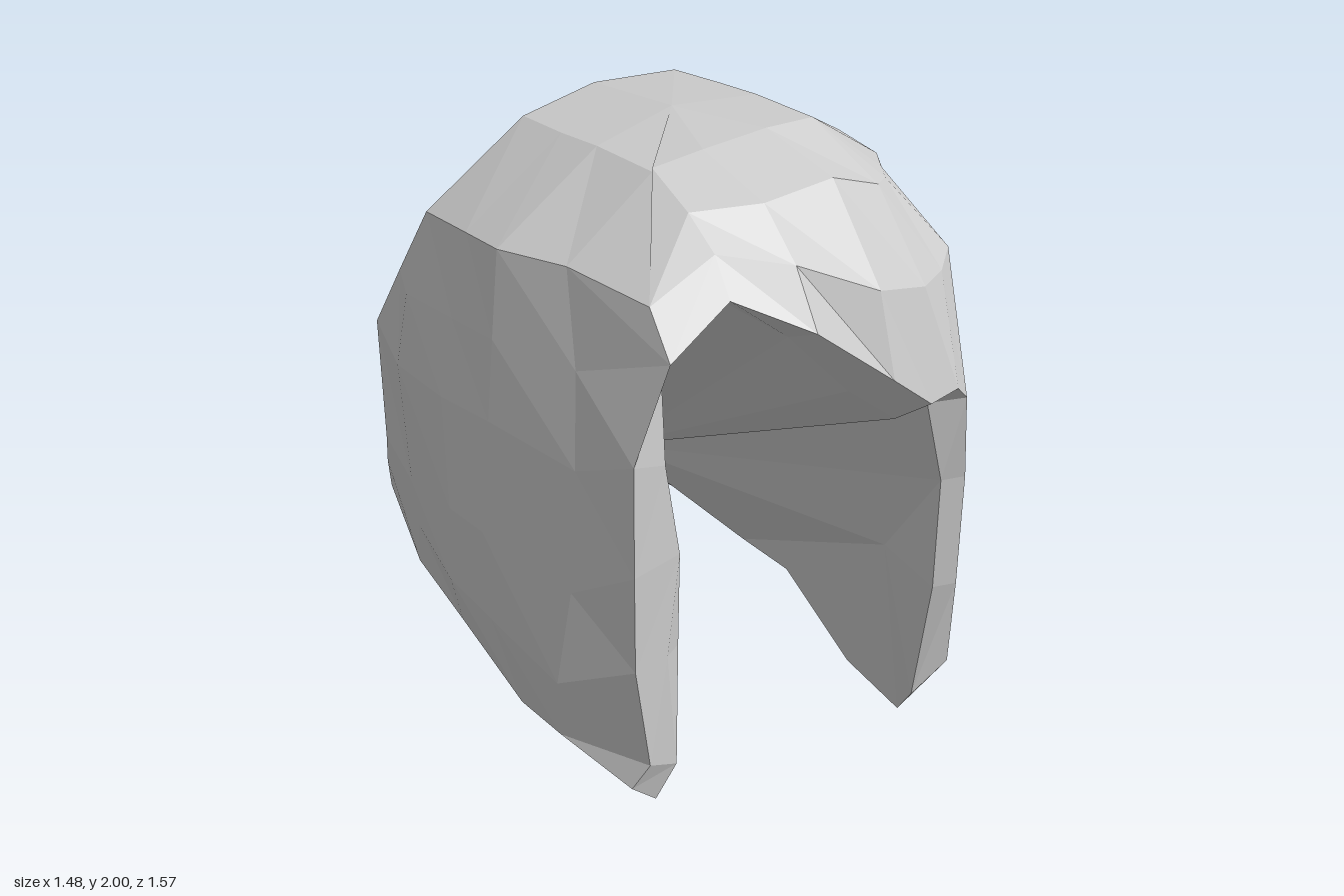
import * as THREE from 'three';

// Each lock is a column of points running from the crown down to the hem.
const fringe = [
  [[-.28, 1.98, .27], [-.3, 1.92, .43], [-.31, 1.85, .54], [-.33, 1.76, .62]],
  [[-.12, 1.99, .28], [-.12, 1.92, .51], [-.13, 1.8, .64], [-.14, 1.65, .735]],
  [[.1, 1.99, .28], [.12, 1.92, .51], [.09, 1.69, .725], [.1, 1.45, .785]],
  [[.28, 1.97, .27], [.28, 1.86, .52], [.3, 1.62, .69], [.27, 1.31, .77]],
  [[.28, 1.97, .27], [.36, 1.84, .47], [.42, 1.61, .64], [.4, 1.3, .75]],
];
const fringeInner = [[-.33, 1.75, .56], [-.14, 1.6, .63], [.06, 1.38, .66], [.24, 1.23, .67], [.33, 1.23, .67]];

// Front edges of the long left lock and the short right lock
const leftLock = [[.28, 1.97, .27], [.42, 1.83, .4], [.51, 1.63, .58], [.49, 1.22, .71],
  [.54, .93, .69], [.545, .55, .69], [.6, .2, .64], [.63, .05, .54]];
const leftLockInner = [[.37, 1.23, .67], [.47, .93, .66], [.475, .55, .66], [.49, .1, .6], [.5, 0, .54]];
const rightLock = [[-.28, 1.98, .27], [-.51, 1.77, .53], [-.53, 1.66, .63], [-.63, 1.4, .61],
  [-.64, 1.08, .62], [-.64, .78, .62], [-.6, .45, .63], [-.64, .37, .6]];
const rightLockInner = [[-.52, 1.36, .6], [-.48, 1.08, .61], [-.53, .78, .62], [-.48, .37, .6], [-.53, .25, .57]];

// Side of the head from front to back corner, mirrored for the right
const side = [
  [[.28, 1.97, .27], [.55, 1.79, .26], [.6, 1.55, .35], [.65, 1.3, .4],
    [.69, .95, .42], [.7, .6, .42], [.71, .2, .41], [.71, .2, .41]],
  [[.28, 1.97, .05], [.61, 1.78, .05], [.66, 1.55, .08], [.7, 1.33, .1], [.74, 1, .1], [.74, .72, .12], [.68, .47, .15]],
  [[.28, 1.96, -.1], [.6, 1.77, -.1], [.66, 1.54, -.1], [.71, 1.32, -.1], [.74, 1, -.05], [.74, .7, -.05], [.7, .5, -.1]],
  [[.27, 1.95, -.28], [.58, 1.75, -.31], [.65, 1.52, -.33], [.69, 1.31, -.34], [.7, .95, -.3], [.69, .8, -.3], [.65, .65, -.42]],
  [[.27, 1.95, -.28], [.58, 1.75, -.31], [.59, 1.53, -.45], [.6, 1.32, -.58], [.62, .95, -.55], [.61, .8, -.57], [.57, .67, -.59]],
];
const sideInner = [[.44, .12, .37], [.36, .4, .16], [.32, .45, 0], [.22, .58, -.22], [.12, .66, -.42]];
const back = [[0, 1.97, -.31], [0, 1.75, -.57], [0, 1.46, -.73], [0, 1.3, -.75], [0, 1.1, -.77], [0, .83, -.78], [0, .69, -.72]];

const flip = ([x, y, z]) => [-x, y, z];
const last = (column) => column[column.length - 1];

// Triangles from a run of rim points in to one centre
const fan = (rim, centre) => rim.slice(1).map((p, i) => [rim[i], centre, p]);

function mesh(name, triangles) {
  const solid = triangles.filter(([a, b, c]) => {
    const [p, q, r] = [a, b, c].map((v) => new THREE.Vector3(...v));
    return q.sub(p).cross(r.sub(p)).length() > 1e-6;
  });
  const geometry = new THREE.BufferGeometry();
  geometry.setAttribute('position', new THREE.Float32BufferAttribute(solid.flat(2), 3));
  geometry.computeVertexNormals();
  const part = new THREE.Mesh(geometry, new THREE.MeshStandardMaterial({ color: 0xcccccc, flatShading: true }));
  part.name = name;
  return part;
}

export function createModel() {
  // Mirrored side, with its lower edge cut higher and the back corner flared
  const rightSide = side.map((column) => column.map(flip));
  rightSide[0][5] = [-.73, .66, .4];
  rightSide[0][6] = rightSide[0][7] = [-.71, .46, .38];
  rightSide[1][6] = [-.7, .45, .19];
  rightSide[2][5] = [-.74, .75, -.07];
  rightSide[2][6] = [-.69, .57, -.1];
  rightSide[3][6] = [-.67, .64, -.34];
  rightSide[4][5] = [-.6, .84, -.59];
  rightSide[4][6] = [-.57, .72, -.63];
  const rightInner = [[-.47, .29, .48], [-.31, .45, .24], [-.37, .58, .11], [-.28, .65, -.18], [-.2, .69, -.52]];
  rightSide.reverse();
  rightInner.reverse();

  // Outer shell: crown fan and strips between neighbouring columns
  const columns = [rightLock, ...fringe, leftLock, ...side, back, ...rightSide];
  const shell = [];
  columns.forEach((a, i) => {
    const b = columns[(i + 1) % columns.length];
    // The right lock meets the fringe one row higher
    const rows = a === rightLock ? 3 : Math.min(a.length, b.length);
    shell.push([[0, 2, .02], a[0], b[0]]);
    for (let r = 0; r < rows - 1; r++) {
      shell.push([a[r], a[r + 1], b[r + 1]], [a[r], b[r + 1], b[r]]);
    }
  });
  shell.push([rightLock[2], fringe[0][3], fringe[0][2]]);

  // Thickness of the hem all round the opening
  const outer = [...fringe.map(last), ...leftLock.slice(3), ...side.map(last), last(back),
    ...rightSide.map(last), ...rightLock.slice(3).reverse(), rightLock[2]];
  const inner = [...fringeInner, ...leftLockInner, ...sideInner, [-.03, .68, -.56],
    ...rightInner, ...rightLockInner.slice().reverse(), [-.51, 1.65, .57]];
  const hem = [];
  outer.forEach((o, i) => {
    const j = (i + 1) % outer.length;
    hem.push([o, inner[i], inner[j]], [o, inner[j], outer[j]]);
  });

  // Hollow running in to one point, with a shallow inside on each lock
  const leftPocket = [.43, .64, .5], rightPocket = [-.45, .75, .57];
  const rim = [...inner.slice(0, 7), leftPocket, ...inner.slice(12, 19), rightPocket, ...inner.slice(24), inner[0]];
  const lining = [
    ...fan(rim, [-.03, .85, -.2]),
    ...fan(inner.slice(6, 13), leftPocket),
    ...fan(inner.slice(18, 25), rightPocket),
  ];

  const hair = new THREE.Group();
  hair.name = 'hair';
  hair.add(mesh('outerHair', shell), mesh('hemEdge', hem), mesh('innerHollow', lining));
  return hair;
}
